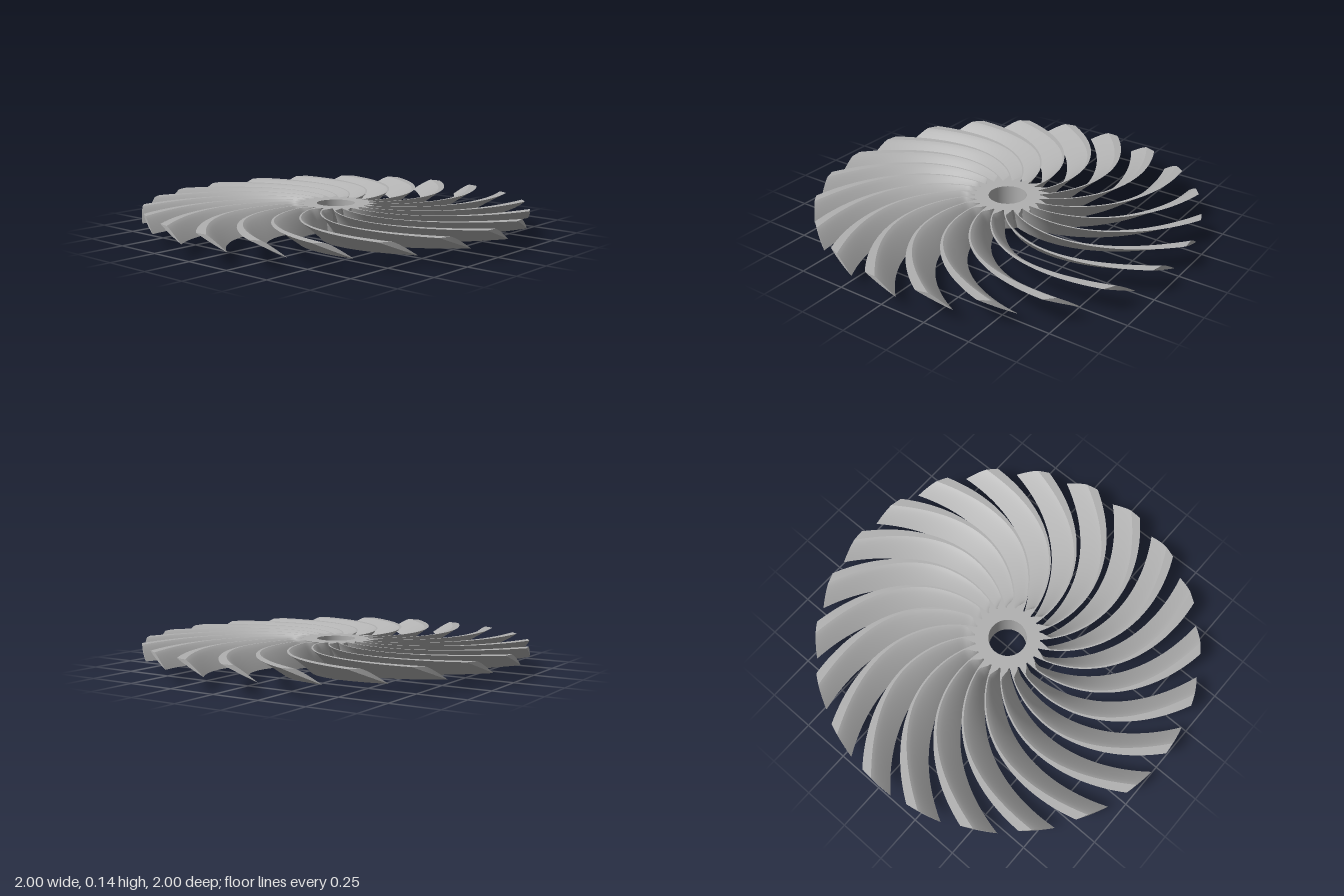
import * as THREE from 'three';
import { mergeGeometries } from 'three/addons/utils/BufferGeometryUtils.js';

const BLADES = 22, TOP = 0.14, INNER = 0.105, OUTER = 1;
const rad = THREE.MathUtils.degToRad, smooth = THREE.MathUtils.smoothstep;

// Blade rules, all by radius: sweep of the high edge, angular width, low edge height, flat share of the top
const sweep = (r) => { const t = 1 - r; return rad(95.3 + 60 * t + 10 * t * t - 15 * t * t * t); };
const width = (r) => rad(10.4 + 10 * (1 - r));
const lowY = (r) => 0.072 * (r - 0.1) / 0.9;
const flat = (r) => 0.08 + 0.27 * smooth(r, 0.5, 1) + 0.72 * (1 - smooth(r, 0.16, 0.23));

const topY = (r, u) => {
  const f = flat(r), k = Math.max(0, (u - f) / (1 - f));
  return TOP - (TOP - lowY(r)) * Math.pow(k, 1.2);
};
const bottomY = (r, u) => TOP - (TOP - lowY(r)) * u;

// u runs from the high edge (0) to the low edge (1)
function place(r, u, y) {
  const a = sweep(r) - width(r) * u;
  return [r * Math.cos(a), y, r * Math.sin(a)];
}

// Smooth grid surface from a point rule
function surface(fn, nu, nv, flip = false) {
  const pos = [], idx = [];
  for (let i = 0; i <= nu; i++) for (let j = 0; j <= nv; j++) pos.push(...fn(i / nu, j / nv));
  for (let i = 0; i < nu; i++) for (let j = 0; j < nv; j++) {
    const a = i * (nv + 1) + j, b = a + nv + 1;
    if (flip) idx.push(a, a + 1, b, b, a + 1, b + 1);
    else idx.push(a, b, a + 1, b, b + 1, a + 1);
  }
  const g = new THREE.BufferGeometry();
  g.setAttribute('position', new THREE.Float32BufferAttribute(pos, 3));
  g.setIndex(idx);
  g.computeVertexNormals();
  return g;
}

function bladeGeometry() {
  const R = (s) => INNER + (OUTER - INNER) * s;
  return mergeGeometries([
    // level strip along the high edge
    surface((s, v) => place(R(s), v * flat(R(s)), TOP), 48, 2),
    // rounded upper face
    surface((s, v) => {
      const r = R(s), u = flat(r) + (1 - flat(r)) * v;
      return place(r, u, topY(r, u));
    }, 48, 10),
    // straight underside
    surface((s, v) => place(R(s), v, bottomY(R(s), v)), 48, 8, true),
    // lens shaped tip
    surface((u, v) => place(OUTER, u, THREE.MathUtils.lerp(bottomY(OUTER, u), topY(OUTER, u), v)), 20, 1),
  ]);
}

// Closed ring with sharp edges, one lathe band per profile segment
function hubGeometry() {
  const p = [[0.1, 0], [0.112, 0], [0.125, 0.06], [0.17, TOP], [0.1, TOP], [0.1, 0]]
    .map(([x, y]) => new THREE.Vector2(x, y));
  return mergeGeometries(p.slice(1).map((q, i) => new THREE.LatheGeometry([p[i], q], 64)));
}

export function createModel() {
  const model = new THREE.Group();
  model.name = 'fanWheel';
  const grey = new THREE.MeshStandardMaterial({ color: 0xb0b0b0 });
  grey.name = 'grey';

  const hub = new THREE.Mesh(hubGeometry(), grey);
  hub.name = 'hub';
  model.add(hub);

  const geometry = bladeGeometry();
  for (let i = 0; i < BLADES; i++) {
    const blade = new THREE.Mesh(geometry, grey);
    blade.name = 'blade' + (i + 1);
    blade.rotation.y = (i / BLADES) * Math.PI * 2;
    model.add(blade);
  }
  return model;
}
